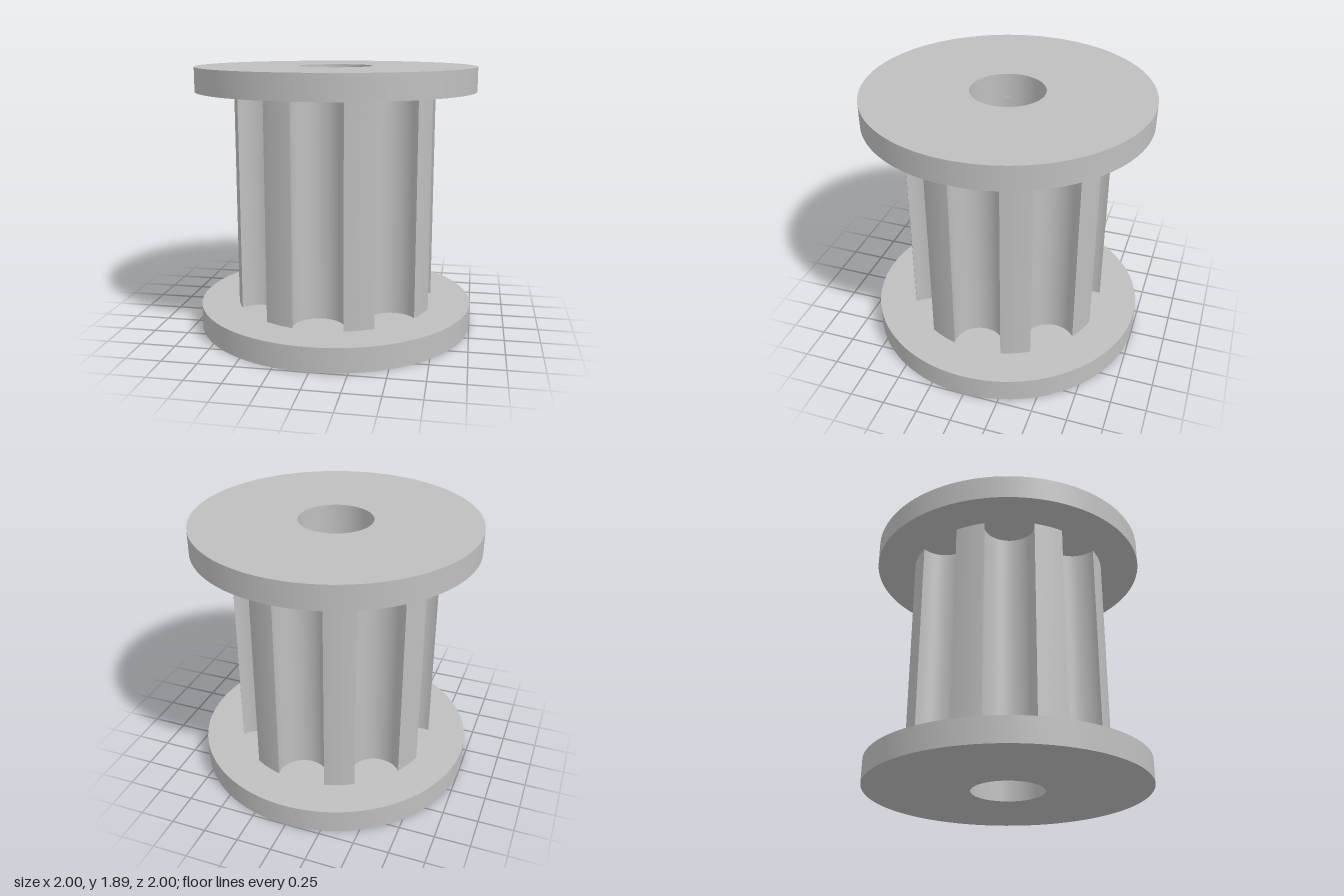
import * as THREE from 'three';
import { toCreasedNormals } from 'three/addons/utils/BufferGeometryUtils.js';

const HEIGHT = 1.895, FLANGE = 0.172, BORE = 0.26;
const TEETH = 8, CORE_R = 0.725, HALF_GROOVE = 0.175;
const GROOVE_C = 0.669; // distance of each groove's centre from the axis

// Outline of the toothed core: lands on the outer radius, round grooves between
function coreOutline() {
  const shape = new THREE.Shape();
  const a = Math.asin(HALF_GROOVE / CORE_R);
  const dx = CORE_R * Math.cos(a) - GROOVE_C;
  const r = Math.hypot(dx, HALF_GROOVE), h = Math.atan2(HALF_GROOVE, dx);
  const step = (Math.PI * 2) / TEETH;
  for (let i = 0; i < TEETH; i++) {
    const t = i * step;
    shape.absarc(GROOVE_C * Math.cos(t), GROOVE_C * Math.sin(t), r, t - h, t + h, true);
    shape.absarc(0, 0, CORE_R, t + a, t + step - a, false);
  }
  return shape;
}

// Extrudes an outline upwards from y, with the shaft bore cut through it
function boredPlate(name, shape, y, height, curveSegments, material) {
  shape.holes.push(new THREE.Path().absarc(0, 0, BORE, 0, Math.PI * 2, true));
  const geometry = new THREE.ExtrudeGeometry(shape, { depth: height, bevelEnabled: false, curveSegments });
  geometry.rotateX(-Math.PI / 2);
  const mesh = new THREE.Mesh(toCreasedNormals(geometry, 0.5), material);
  mesh.name = name;
  mesh.position.y = y;
  return mesh;
}

export function createModel() {
  const group = new THREE.Group();
  group.name = 'flangedPulley';
  const metal = new THREE.MeshStandardMaterial({ color: 0xbfbfbf });
  metal.name = 'grey metal';

  const disc = () => new THREE.Shape().absarc(0, 0, 1, 0, Math.PI * 2, false);
  group.add(
    boredPlate('bottomFlange', disc(), 0, FLANGE, 48, metal),
    boredPlate('toothedCore', coreOutline(), FLANGE, HEIGHT - 2 * FLANGE, 24, metal),
    boredPlate('topFlange', disc(), HEIGHT - FLANGE, FLANGE, 48, metal),
  );
  return group;
}
